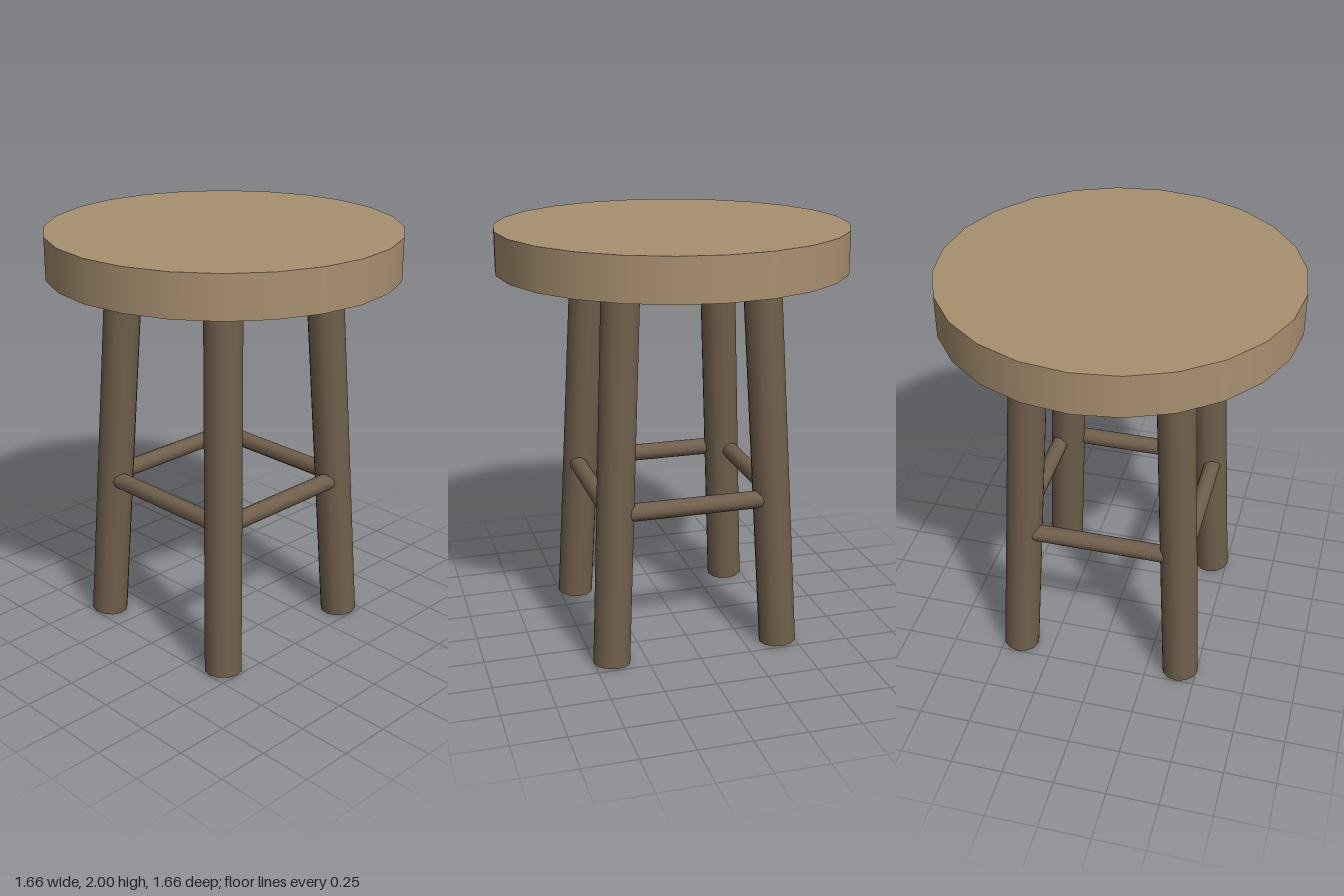
import * as THREE from 'three';

const seatWood = new THREE.MeshStandardMaterial({ color: 0xa89070 });
const legWood = new THREE.MeshStandardMaterial({ color: 0x705f4c });

// Round bar running from point a to point b
function bar(name, a, b, radius, sides) {
  const dir = b.clone().sub(a);
  const mesh = new THREE.Mesh(new THREE.CylinderGeometry(radius, radius, dir.length(), sides), legWood);
  mesh.position.copy(a).add(b).multiplyScalar(0.5);
  mesh.quaternion.setFromUnitVectors(new THREE.Vector3(0, 1, 0), dir.normalize());
  mesh.name = name;
  return mesh;
}

export function createModel() {
  const stool = new THREE.Group();
  stool.name = 'stool';

  // Thick round seat
  const seat = new THREE.Mesh(new THREE.CylinderGeometry(0.83, 0.83, 0.2, 24), seatWood);
  seat.name = 'seat';
  seat.position.y = 1.9;
  stool.add(seat);

  // Four legs splayed towards the corners
  for (const [side, sx] of [['Left', 1], ['Right', -1]]) {
    for (const [end, sz] of [['front', 1], ['back', -1]]) {
      const foot = new THREE.Vector3(0.417 * sx, 0.006, 0.417 * sz);
      const top = new THREE.Vector3(0.329 * sx, 1.82, 0.329 * sz);
      stool.add(bar(`${end}${side}Leg`, foot, top, 0.09, 12));
    }
  }

  // Rungs set slightly outside the leg centres, one per side
  const y = 0.747, out = 0.405, half = 0.35;
  for (const [name, s] of [['front', 1], ['back', -1]]) {
    stool.add(bar(`${name}Rung`, new THREE.Vector3(-half, y, out * s), new THREE.Vector3(half, y, out * s), 0.042, 10));
  }
  for (const [name, s] of [['left', 1], ['right', -1]]) {
    stool.add(bar(`${name}Rung`, new THREE.Vector3(out * s, y, -half), new THREE.Vector3(out * s, y, half), 0.042, 10));
  }
  return stool;
}
